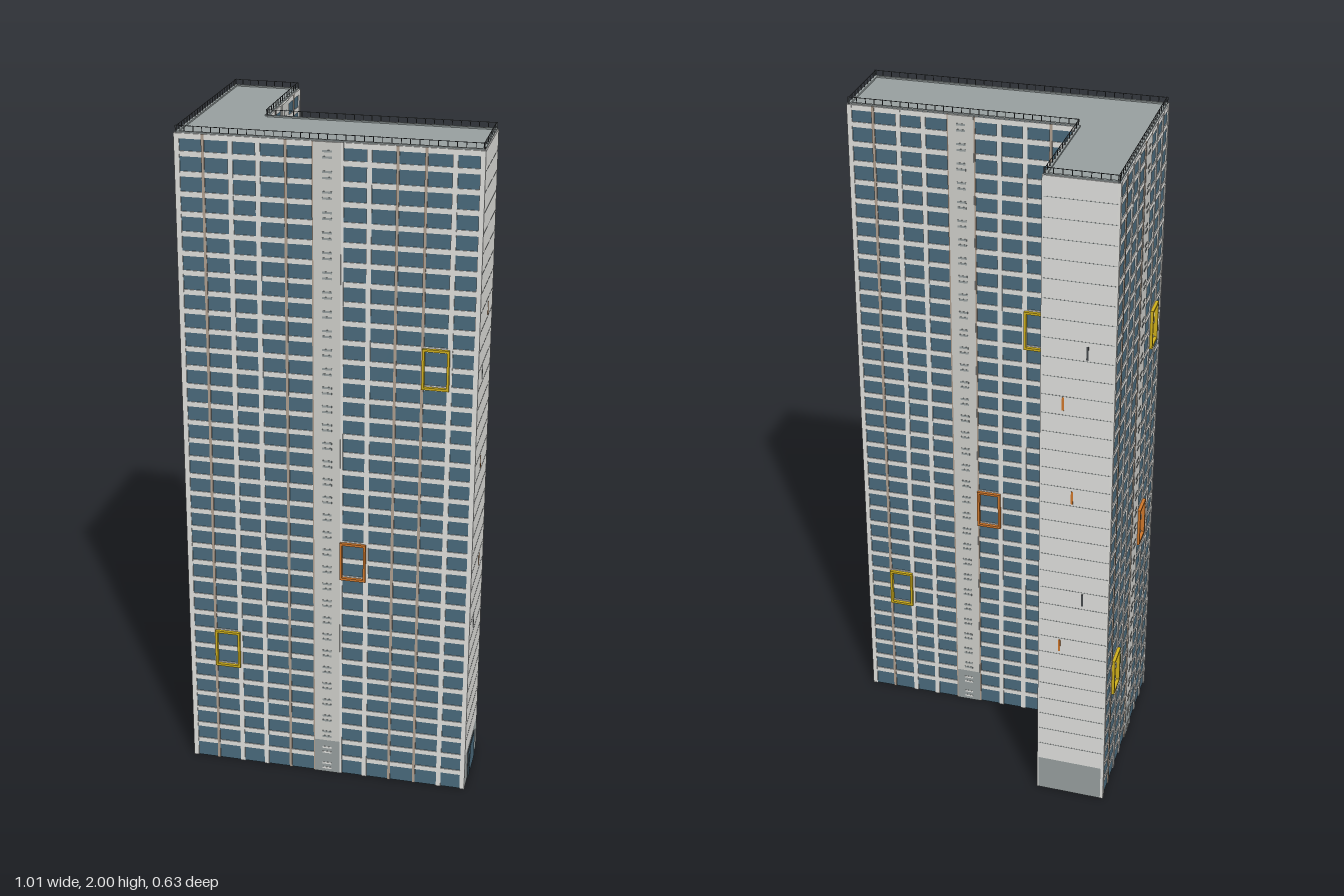
import * as THREE from 'three';
import { mergeGeometries } from 'three/addons/utils/BufferGeometryUtils.js';

const paint = (name, color) => {
  const m = new THREE.MeshStandardMaterial({ color });
  m.name = name;
  return m;
};
const MAT = {
  concrete: paint('grey concrete', 0x979f9f),
  glass: paint('blue glass', 0x4a6a7c),
  white: paint('off white panel', 0xe0e0dd),
  stair: paint('stairwell grey', 0xcfcfcb),
  tan: paint('tan mullion', 0xb0a090),
  dark: paint('dark metal', 0x45494c),
  yellow: paint('yellow frame', 0xd0b01c),
  orange: paint('orange frame', 0xd0782c),
};

// L-shaped footprint as [x, z], walked so that every wall faces outward
const OUTLINE = [[-0.5, -0.245], [-0.295, 0.31], [0.5, 0.015], [0.415, -0.205], [-0.193, 0.02], [-0.315, -0.31]];
const HEIGHT = 1.98;
const FLOORS = 35;
const FLOOR = HEIGHT / FLOORS;
const BASE = 2 * FLOOR;

// Collects boxes by material and joins each set into one named mesh
function collector(group) {
  const sets = {};
  return {
    box(name, mat, w, h, d, x, y, z) {
      const set = (sets[name + mat] ??= { name, mat, list: [] });
      set.list.push(new THREE.BoxGeometry(w, h, d).translate(x, y, z));
    },
    finish() {
      for (const { name, mat, list } of Object.values(sets)) {
        const mesh = new THREE.Mesh(mergeGeometries(list), MAT[mat]);
        mesh.name = name;
        group.add(mesh);
      }
    },
  };
}

// Group whose x runs along a wall and whose z points outward
function wallGroup(name, a, b) {
  const group = new THREE.Group();
  group.name = name;
  group.position.set(a[0], 0, a[1]);
  group.rotation.y = Math.atan2(a[1] - b[1], b[0] - a[0]);
  return { group, length: Math.hypot(b[0] - a[0], b[1] - a[1]) };
}

function slab(name, mat, bottom, top) {
  const shape = new THREE.Shape(OUTLINE.map(([x, z]) => new THREE.Vector2(x, -z)));
  const geo = new THREE.ExtrudeGeometry(shape, { depth: top - bottom, bevelEnabled: false });
  geo.rotateX(-Math.PI / 2).translate(0, bottom, 0);
  const mesh = new THREE.Mesh(geo, MAT[mat]);
  mesh.name = name;
  return mesh;
}

// Projecting rectangular frame around one bay, two floors high
function bayFrame(c, mat, x, w, floor) {
  const h = 0.12, t = 0.007, d = 0.013;
  const y = (floor + 1) * FLOOR;
  for (const s of [-1, 1]) {
    c.box('bayFrame', mat, t, h, d, x + s * (w - t) / 2, y, d / 2);
    c.box('bayFrame', mat, w, t, d, x, y + s * (h - t) / 2, d / 2);
  }
}

function windowFacade(name, a, b, bays) {
  const { group, length } = wallGroup(name, a, b);
  const c = collector(group);
  const w = length / bays;
  const mid = Math.floor(bays / 2);
  const xMid = (mid + 0.5) * w;

  c.box('glazing', 'glass', length, HEIGHT, 0.002, length / 2, HEIGHT / 2, 0);
  // Floor bands
  for (let i = 1; i <= FLOORS; i++) {
    c.box('floorBands', 'white', length, 0.015, 0.007, length / 2, Math.min(i * FLOOR, HEIGHT - 0.0075), 0);
  }
  // Pilasters and mullions between bays
  for (let k = 0; k <= bays; k++) {
    const tan = k > 0 && k < bays && k % 4 < 2;
    const x = Math.min(Math.max(k * w, 0.004), length - 0.004);
    c.box(tan ? 'mullions' : 'pilasters', tan ? 'tan' : 'white', tan ? 0.008 : 0.014, HEIGHT, 0.009, x, HEIGHT / 2, 0);
  }
  // Stairwell strip with louvres
  c.box('stairwell', 'stair', w, HEIGHT - BASE, 0.011, xMid, (HEIGHT + BASE) / 2, 0);
  c.box('stairwellBase', 'concrete', w, BASE, 0.011, xMid, BASE / 2, 0);
  for (let i = 0; i < FLOORS; i++) {
    for (const f of [0.25, 0.55]) {
      c.box('louvres', i > 1 ? 'concrete' : 'white', w * 0.36, 0.006, 0.013, xMid, (i + f) * FLOOR, 0);
    }
  }
  // Coloured accent frames
  bayFrame(c, 'yellow', 1.5 * w, w, 6);
  bayFrame(c, 'orange', (mid + 1.5) * w, w, 12);
  bayFrame(c, 'yellow', (bays - 1.5) * w, w, 23);
  c.finish();
  return group;
}

// Plain gable wall; slots are [material, fraction along the wall, height]
function endWall(name, a, b, slots) {
  const { group, length } = wallGroup(name, a, b);
  const c = collector(group);
  c.box('blankWall', 'white', length, HEIGHT - BASE, 0.006, length / 2, (HEIGHT + BASE) / 2, 0);
  c.box('wallBase', 'concrete', length, BASE, 0.006, length / 2, BASE / 2, 0);
  // Panel seams at every floor
  for (let i = 3; i < FLOORS; i++) {
    c.box('panelSeams', 'concrete', length, 0.0015, 0.007, length / 2, i * FLOOR, 0);
  }
  // Small upright slots
  for (const [mat, f, y] of slots) {
    c.box('wallSlots', mat, 0.006, 0.04, 0.008, f * length, y, 0);
  }
  c.finish();
  return group;
}

// Glazed entrance in the long wing's gable
function entrance(a, b) {
  const { group } = wallGroup('entrance', a, b);
  const c = collector(group);
  c.box('entranceFrame', 'dark', 0.13, 0.098, 0.009, 0.118, 0.049, 0);
  c.box('entranceGlass', 'glass', 0.124, 0.094, 0.012, 0.118, 0.048, 0);
  c.box('entranceMullion', 'dark', 0.005, 0.094, 0.014, 0.083, 0.048, 0);
  c.finish();
  return group;
}

// Kerb and railing along one roof edge
function roofEdge(a, b) {
  const { group, length } = wallGroup('roofEdge', a, b);
  const c = collector(group);
  c.box('kerb', 'concrete', length, 0.006, 0.008, length / 2, HEIGHT + 0.001, -0.004);
  const n = Math.round(length / 0.025);
  for (let i = 0; i <= n; i++) {
    c.box('railingPosts', 'dark', 0.002, 0.02, 0.002, (i / n) * length, HEIGHT + 0.01, -0.003);
  }
  c.box('railing', 'dark', length, 0.0015, 0.0015, length / 2, HEIGHT + 0.019, -0.003);
  c.finish();
  return group;
}

export function createModel() {
  const model = new THREE.Group();
  model.name = 'towerBlock';
  model.add(slab('core', 'concrete', 0, HEIGHT - 0.006));
  model.add(slab('roof', 'concrete', HEIGHT - 0.006, HEIGHT));

  const [A, F, E, D, C, B] = OUTLINE;
  model.add(windowFacade('sideFacade', A, F, 8));
  model.add(windowFacade('frontFacade', F, E, 11));
  model.add(windowFacade('backFacade', D, C, 9));
  model.add(windowFacade('innerFacade', C, B, 5));
  model.add(endWall('longWingEnd', E, D, [['orange', 0.63, 1.495], ['orange', 0.45, 1.045], ['orange', 0.63, 0.71],
    ['concrete', 0.32, 1.33], ['concrete', 0.32, 0.54]]));
  model.add(endWall('shortWingEnd', B, A, [['dark', 0.63, 1.495], ['orange', 0.3, 1.335], ['orange', 0.45, 1.045],
    ['dark', 0.63, 0.71], ['orange', 0.3, 0.54]]));
  model.add(entrance(E, D));
  OUTLINE.forEach((p, i) => model.add(roofEdge(p, OUTLINE[(i + 1) % OUTLINE.length])));
  return model;
}
